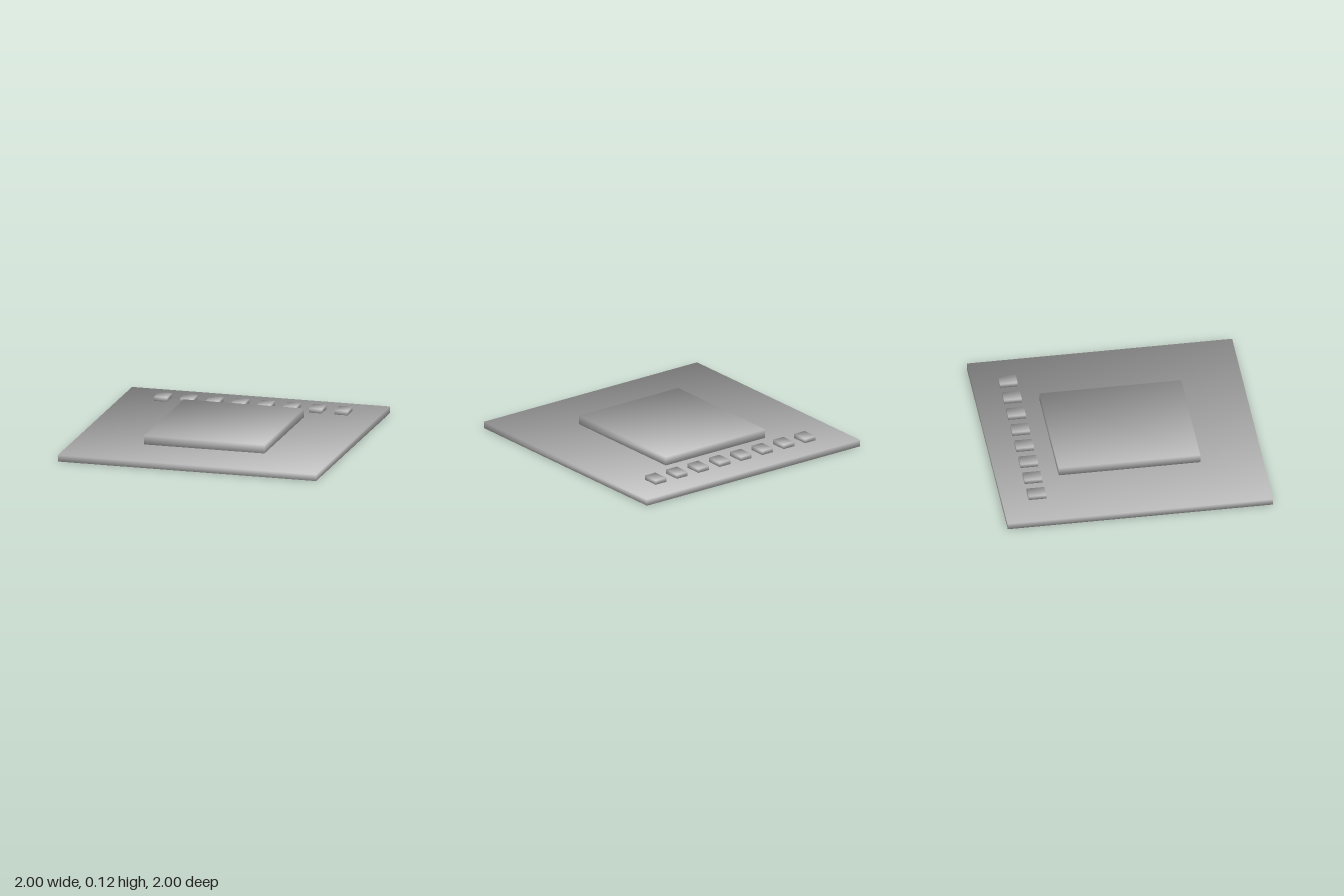
import * as THREE from 'three';

const lightGrey = new THREE.MeshStandardMaterial({ color: 0xc0c0c0 });
lightGrey.name = 'lightGrey';

// Box with normals shared at its corners, so the shading runs smoothly over the edges
function softBox(name, width, height, depth, x, bottom, z) {
  const geometry = new THREE.BoxGeometry(width, height, depth);
  const { position, normal } = geometry.attributes;
  const n = new THREE.Vector3();
  for (let i = 0; i < position.count; i++) {
    n.fromBufferAttribute(position, i);
    n.set(Math.sign(n.x), Math.sign(n.y), Math.sign(n.z)).normalize();
    normal.setXYZ(i, n.x, n.y, n.z);
  }
  const mesh = new THREE.Mesh(geometry, lightGrey);
  mesh.name = name;
  mesh.position.set(x, bottom + height / 2, z);
  return mesh;
}

export function createModel() {
  const model = new THREE.Group();
  model.name = 'plateWithBlocks';
  const plateTop = 0.05;

  // Square base plate and the raised slab in its middle
  model.add(softBox('basePlate', 2, plateTop, 2, 0, 0, 0));
  model.add(softBox('centreSlab', 0.933, 0.067, 1.067, 0, plateTop, 0));

  // Row of eight small blocks along the back
  const row = new THREE.Group();
  row.name = 'blockRow';
  for (let i = 0; i < 8; i++) {
    row.add(softBox(`block${i + 1}`, 0.1, 0.033, 0.133, -0.684 + i * 0.2, plateTop, -0.735));
  }
  model.add(row);

  return model;
}
